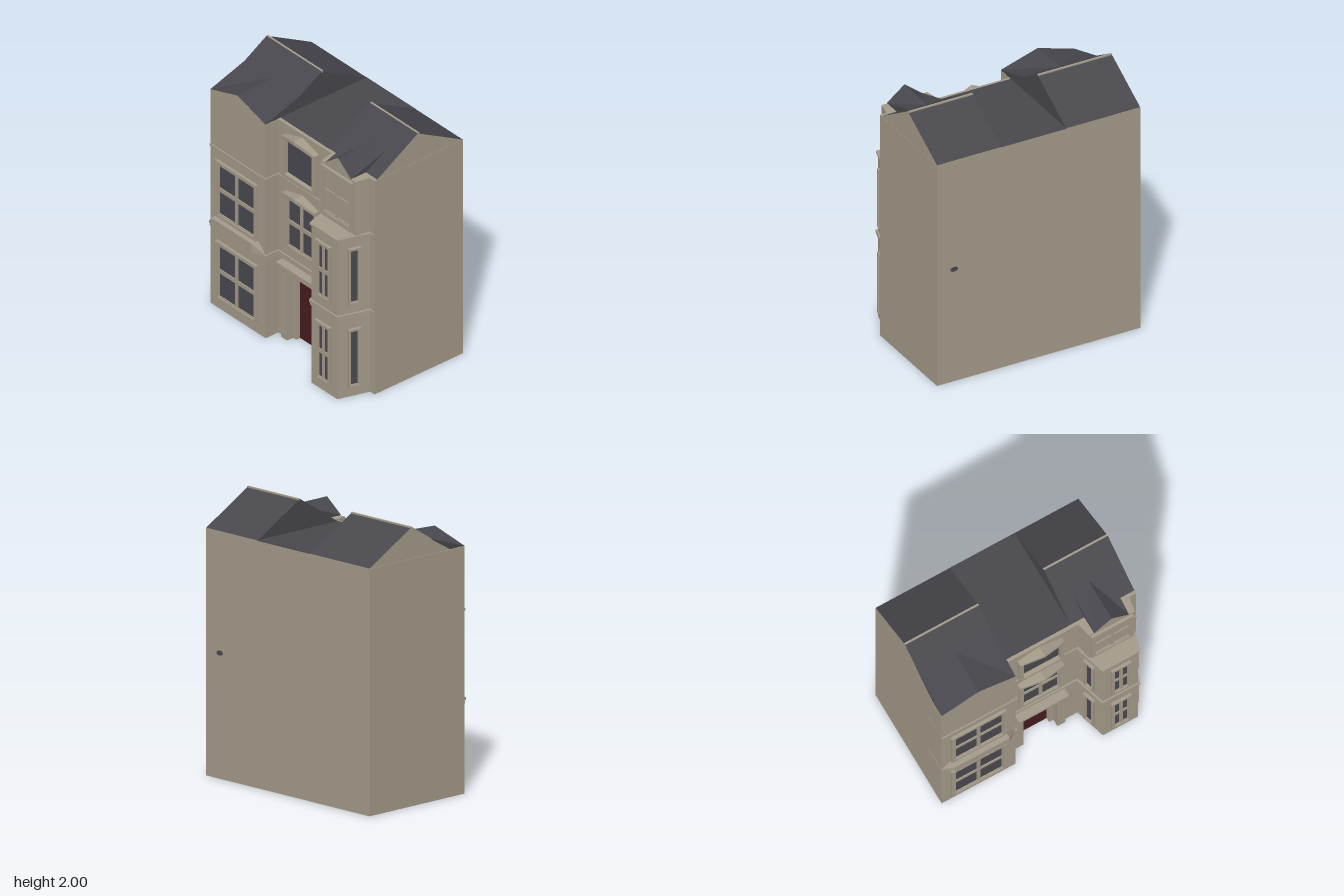
import * as THREE from 'three';

export function createModel() {
  const house = new THREE.Group();
  house.name = 'townHouse';
  const mat = (name, color) => {
    const m = new THREE.MeshStandardMaterial({ color, side: THREE.DoubleSide });
    m.name = name;
    return m;
  };
  const stone = mat('stone', 0xa39a89);
  const slate = mat('slate', 0x47474d);
  const glass = mat('glass', 0x48484f);
  const red = mat('doorRed', 0x471b20);

  const add = (geo, m, name, parent = house) => {
    const mesh = new THREE.Mesh(geo, m);
    mesh.name = name;
    parent.add(mesh);
    return mesh;
  };
  // box given by its limits
  const box = (x0, x1, y0, y1, z0, z1, m, name, parent) => {
    const g = new THREE.BoxGeometry(x1 - x0, y1 - y0, z1 - z0);
    g.translate((x0 + x1) / 2, (y0 + y1) / 2, (z0 + z1) / 2);
    return add(g, m, name, parent);
  };
  const poly = (pts) => new THREE.Shape(pts.map(([x, y]) => new THREE.Vector2(x, y)));
  // upright outline extruded from z0 to z1, with optional holes
  const slab = (pts, z0, z1, m, name, parent, holes = []) => {
    const s = poly(pts);
    holes.forEach((h) => s.holes.push(poly(h)));
    const g = new THREE.ExtrudeGeometry(s, { depth: z1 - z0, bevelEnabled: false });
    return add(g.translate(0, 0, z0), m, name, parent);
  };
  // plan outline (x, z) extruded from y0 to y1
  const plan = (pts, y0, y1, m, name) => {
    const g = new THREE.ExtrudeGeometry(poly(pts.map(([x, z]) => [x, -z])), { depth: y1 - y0, bevelEnabled: false });
    return add(g.rotateX(-Math.PI / 2).translate(0, y0, 0), m, name);
  };
  // flat convex face from its corners
  const face = (pts, m, name, parent) => {
    const tri = [];
    for (let i = 1; i < pts.length - 1; i++) tri.push(...pts[0], ...pts[i], ...pts[i + 1]);
    const g = new THREE.BufferGeometry();
    g.setAttribute('position', new THREE.Float32BufferAttribute(tri, 3));
    g.computeVertexNormals();
    return add(g, m, name, parent);
  };
  const rect = (w, y0, y1) => [[-w / 2, y0], [w / 2, y0], [w / 2, y1], [-w / 2, y1]];

  // Main walls: core, front wall with the door opening, bays
  box(-0.81, 0.81, 0, 1.77, -0.53, 0.19, stone, 'mainWalls');
  slab([[-0.81, 0], [-0.1, 0], [-0.1, 0.56], [0.17, 0.56], [0.17, 0], [0.81, 0], [0.81, 1.77], [-0.81, 1.77]],
    0.19, 0.275, stone, 'frontWall');
  slab([[-0.81, 0], [-0.22, 0], [-0.22, 1.77], [-0.515, 1.86], [-0.81, 1.77]], 0.19, 0.39, stone, 'gabledBay');
  plan([[0.34, 0.27], [0.41, 0.51], [0.69, 0.51], [0.765, 0.27]], 0, 1.32, stone, 'cantedBay');
  plan([[0.335, 0.2], [0.37, 0.385], [0.735, 0.385], [0.77, 0.2]], 1.32, 1.77, stone, 'dormerWalls');
  slab([[0.41, 1.77], [0.69, 1.77], [0.55, 1.88]], 0.37, 0.385, stone, 'dormerPediment');

  // String courses follow the whole front
  const course = (g, y0, y1) => plan([[-0.812, 0.2], [-0.812, 0.39 + g], [-0.22 + g, 0.39 + g], [-0.22 + g, 0.275 + g],
    [0.34 - g, 0.275 + g], [0.41 - g, 0.51 + g], [0.69 + g, 0.51 + g], [0.765 + g, 0.275 + g],
    [0.81, 0.275 + g], [0.81, 0.2]], y0, y1, stone, 'stringCourse');
  course(0.006, 0.645, 0.66);
  course(0.012, 0.667, 0.69);
  course(0.01, 1.308, 1.325);

  // Main roofs, with a flat roof between them
  for (const [out, inn] of [[-0.81, -0.22], [0.81, 0.3]]) {
    const back = (x) => [x, 1.772, -0.53], top = (x) => [x, 1.998, -0.12], front = (x) => [x, 1.772, 0.25];
    face([front(out), front(inn), top(inn), top(out)], slate, 'frontSlope');
    face([back(inn), back(out), top(out), top(inn)], slate, 'backSlope');
    face([back(out), front(out), top(out)], stone, 'gableEnd');
    face([back(inn), front(inn), top(inn)], slate, 'innerGable');
    box(Math.min(out, inn), Math.max(out, inn), 1.985, 2, -0.134, -0.119, stone, 'ridge');
  }
  box(-0.22, 0.3, 1.768, 1.774, -0.53, 0.25, slate, 'flatRoof');

  // Gabled bay and dormer roofs run back level into the main slope
  const bayRoof = (x0, x1, peak, z, name) => {
    const g = new THREE.Group();
    g.name = name;
    house.add(g);
    const xm = (x0 + x1) / 2;
    for (const x of [x0, x1]) {
      face([[x, 1.773, z], [xm, peak, z], [xm, 1.882, 0.06], [x, 1.882, 0.06]], slate, 'roofHalf', g);
      face([[x, 1.773, z], [x, 1.773, 0.25], [x, 1.882, 0.06]], slate, 'roofCheek', g);
    }
  };
  bayRoof(-0.81, -0.22, 1.864, 0.392, 'gabledBayRoof');
  bayRoof(0.41, 0.69, 1.882, 0.387, 'dormerRoof');

  // Window: stepped surround, sash, panes and glazing bars, built about x = 0 on the wall plane
  const windowAt = (x, z, ry, y0, y1, w, o = {}) => {
    const { pane = glass, border = 0.035, depth = 0.022, bar = 0.026, cross = true } = o;
    const g = new THREE.Group();
    g.name = 'window';
    g.position.set(x, 0, z);
    g.rotation.y = ry;
    house.add(g);
    const b = border * 0.75, iw = w - 2 * border;
    slab(rect(w, y0, y1), 0, depth, stone, 'surround', g, [rect(w - 2 * b, y0 + b, y1 - b)]);
    slab(rect(w - 2 * b, y0 + b, y1 - b), 0, depth * 0.6, stone, 'sash', g, [rect(iw, y0 + border, y1 - border)]);
    box(-iw / 2, iw / 2, y0 + border, y1 - border, 0, 0.004, pane, 'panes', g);
    if (cross) {
      const ym = (y0 + y1) / 2;
      box(-bar / 2, bar / 2, y0 + border, y1 - border, 0, 0.012, stone, 'mullion', g);
      box(-iw / 2, iw / 2, ym - 0.016, ym + 0.016, 0, 0.013, stone, 'transom', g);
    }
  };
  const cant = Math.atan2(0.235, 0.07);
  for (const [y0, y1] of [[0.08, 0.562], [0.765, 1.23]]) {
    windowAt(-0.52, 0.39, 0, y0, y1, 0.44);
    windowAt(0.55, 0.51, 0, y0, y1, 0.16, { border: 0.03 });
    windowAt(0.375, 0.393, -cant, y0, y1, 0.095, { border: 0.022, cross: false });
    windowAt(0.7275, 0.393, cant, y0, y1, 0.095, { border: 0.022, cross: false });
  }
  windowAt(0.04, 0.275, 0, 0.765, 1.215, 0.34);
  windowAt(0.55, 0.385, 0, 1.355, 1.755, 0.335, { pane: stone });

  // Pointed hoods: peak leans forward over a sloping soffit
  const hood = (y, rise, m, name) => {
    const L = -0.14, R = 0.215, c = 0.0375;
    for (const [x, xi] of [[L, -0.11], [R, 0.185]]) {
      face([[x, y + 0.02, 0.275], [x, y + 0.02, 0.315], [c, y + rise, 0.355], [c, y + rise, 0.275]], stone, name);
      face([[x, y - 0.005, 0.315], [x, y + 0.02, 0.315], [c, y + rise, 0.355], [c, y + rise - 0.028, 0.355], [xi, y, 0.319]], stone, name);
      face([[x, y - 0.005, 0.275], [x, y + 0.02, 0.275], [x, y + 0.02, 0.315], [x, y - 0.005, 0.315]], stone, name);
    }
    face([[-0.11, y, 0.298], [0.185, y, 0.298], [c, y + rise - 0.028, 0.355]], m, name + 'Soffit');
  };
  hood(1.2, 0.065, stone, 'windowHood');
  hood(1.67, 0.075, stone, 'topWindowHood');

  // Top middle window in a deep frame
  slab([[-0.14, 1.36], [0.215, 1.36], [0.215, 1.69], [-0.14, 1.69]], 0.275, 0.315, stone, 'topWindowFrame', house,
    [[[-0.11, 1.387], [0.185, 1.387], [0.185, 1.672], [-0.11, 1.672]]]);
  box(-0.11, 0.185, 1.387, 1.672, 0.275, 0.28, glass, 'topWindowPane');

  // Splayed sill under the upper window of the gabled bay
  const sillTop = 0.768;
  box(-0.735, -0.3, 0.69, sillTop, 0.385, 0.45, stone, 'sill');
  for (const [xo, xi] of [[-0.81, -0.735], [-0.22, -0.3]]) {
    face([[xo, 0.69, 0.39], [xi, 0.69, 0.45], [xi, sillTop, 0.45]], stone, 'sillCheek');
    face([[xo, 0.69, 0.39], [xi, sillTop, 0.45], [xi, sillTop, 0.39]], stone, 'sillCheek');
    face([[xo, 0.69, 0.39], [xi, 0.69, 0.45], [xi, 0.69, 0.39]], stone, 'sillCheek');
  }

  // Door with panels, stepped jambs, pilasters and canopy
  box(-0.07, 0.135, 0, 0.51, 0.185, 0.205, red, 'door');
  for (const x of [-0.055, 0.04]) {
    for (const [y0, y1] of [[0.04, 0.25], [0.28, 0.48]]) box(x, x + 0.08, y0, y1, 0.2, 0.21, red, 'doorPanel');
  }
  box(-0.1, 0.17, 0.51, 0.56, 0.185, 0.24, stone, 'doorHead');
  for (const s of [-1, 1]) {
    const span = (a, b, y0, y1, z0, z1, name) => {
      const p = 0.0335 + s * a, q = 0.0335 + s * b;
      box(Math.min(p, q), Math.max(p, q), y0, y1, z0, z1, stone, name);
    };
    span(0.102, 0.136, 0, 0.56, 0.185, 0.24, 'doorJamb');
    span(0.136, 0.2, 0, 0.59, 0.27, 0.295, 'pilaster');
    // wedge bracket under the canopy
    const xa = 0.0335 + s * 0.15, xb = 0.0335 + s * 0.19;
    face([[xa, 0.62, 0.335], [xb, 0.62, 0.335], [0.0335 + s * 0.17, 0.555, 0.297]], stone, 'bracket');
    for (const x of [xa, xb]) face([[x, 0.62, 0.335], [x, 0.62, 0.29], [0.0335 + s * 0.17, 0.555, 0.297]], stone, 'bracket');
  }
  box(-0.165, 0.235, 0.62, 0.645, 0.27, 0.345, stone, 'canopy');
  box(-0.135, 0.205, 0.59, 0.62, 0.27, 0.325, stone, 'canopyMoulding');
  box(-0.11, 0.18, 0.56, 0.59, 0.27, 0.3, stone, 'lintel');

  // Small vent on the back wall
  const vent = add(new THREE.CylinderGeometry(0.03, 0.03, 0.006, 16).rotateX(Math.PI / 2), glass, 'backVent');
  vent.scale.y = 0.6;
  vent.position.set(0.675, 0.9, -0.531);

  return house;
}
